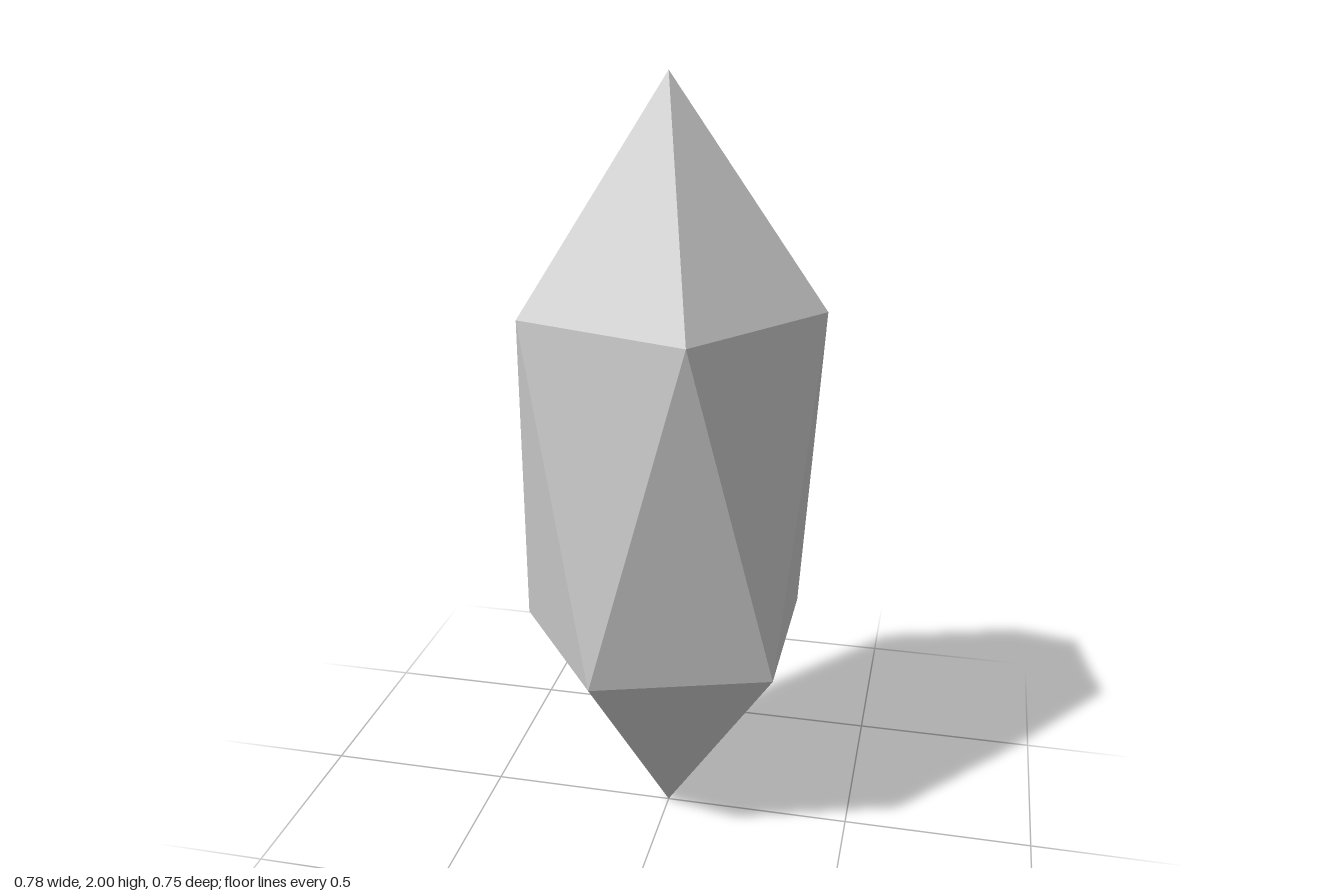
import * as THREE from 'three';

const SIDES = 5;
const RADIUS = 0.392;

// Crystal: two five-sided points joined by a twisted band of triangles
function crystalGeometry() {
  const ring = (y, turn) => Array.from({ length: SIDES }, (_, i) => {
    const a = ((i + turn) / SIDES) * Math.PI * 2;
    return new THREE.Vector3(RADIUS * Math.cos(a), y, RADIUS * Math.sin(a));
  });
  const tip = new THREE.Vector3(0, 2, 0);
  const base = new THREE.Vector3(0, 0, 0);
  const upper = ring(1.447, 0);
  const lower = ring(0.553, 0.5);

  const points = [];
  for (let i = 0; i < SIDES; i++) {
    const j = (i + 1) % SIDES;
    points.push(
      tip, upper[j], upper[i],
      upper[i], upper[j], lower[i],
      upper[j], lower[j], lower[i],
      base, lower[i], lower[j],
    );
  }
  const geometry = new THREE.BufferGeometry().setFromPoints(points);
  geometry.computeVertexNormals();
  return geometry;
}

export function createModel() {
  const group = new THREE.Group();
  const material = new THREE.MeshStandardMaterial({ color: 0xcccccc, flatShading: true });
  const crystal = new THREE.Mesh(crystalGeometry(), material);
  crystal.name = 'crystal';
  group.add(crystal);
  return group;
}
